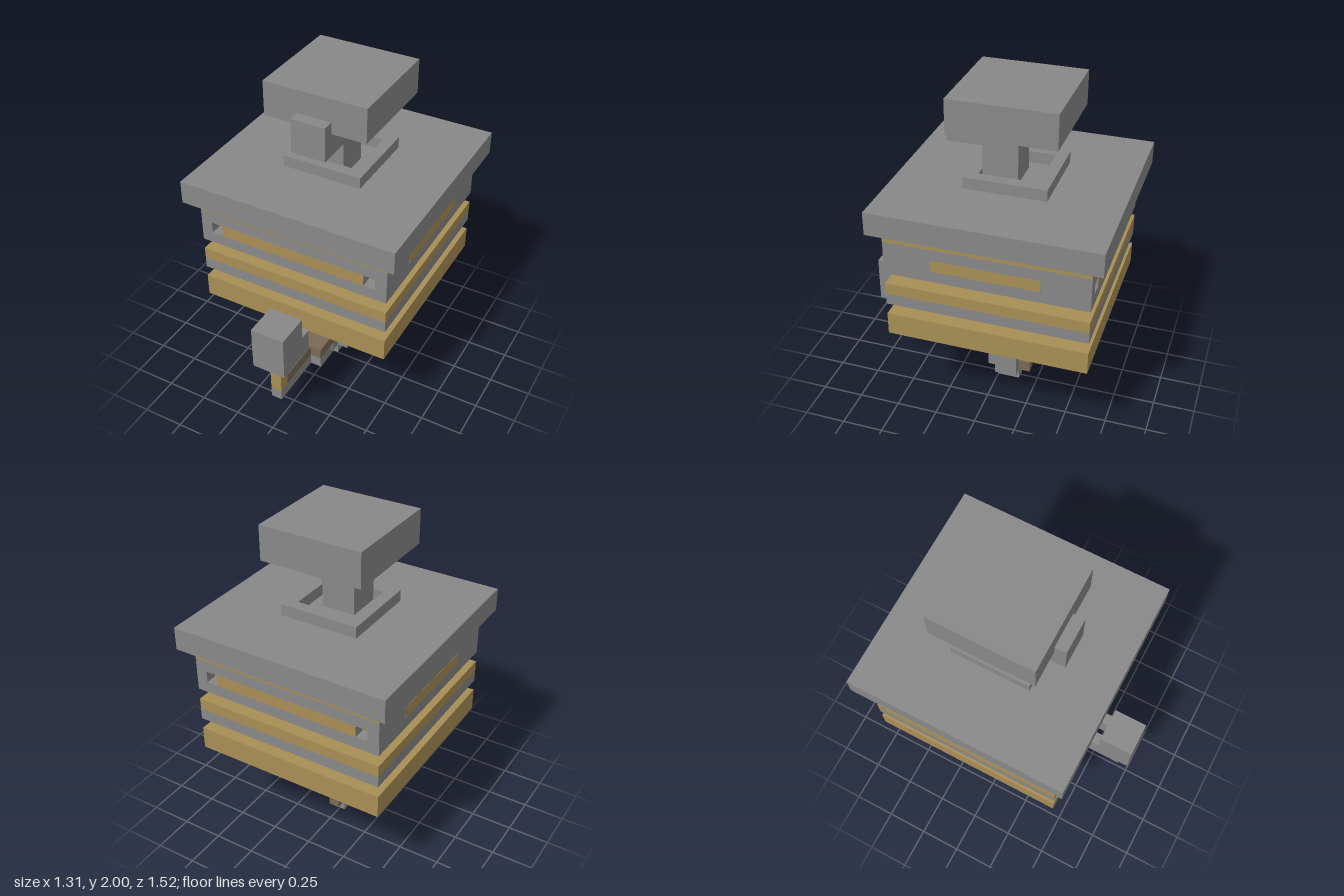
import * as THREE from 'three';

const U = 2 / 29; // one block of the grid

export function createModel() {
  const model = new THREE.Group();
  const mat = (name, color) => Object.assign(new THREE.MeshStandardMaterial({ color }), { name });
  const grey = mat('grey metal', 0x888888);
  const gold = mat('dull gold', 0xa88e55);
  const brown = mat('dark brown', 0x7a6955);
  const copper = mat('copper', 0x8f6832);

  // Block given by its limits, in grid units
  function box(name, material, x0, x1, y0, y1, z0, z1) {
    const mesh = new THREE.Mesh(new THREE.BoxGeometry((x1 - x0) * U, (y1 - y0) * U, (z1 - z0) * U), material);
    mesh.position.set((x0 + x1) / 2 * U, (y0 + y1) / 2 * U, (z0 + z1) / 2 * U);
    mesh.name = name;
    model.add(mesh);
    return mesh;
  }
  // Block centred on x
  const mid = (name, material, half, y0, y1, z0, z1) => box(name, material, -half, half, y0, y1, z0, z1);

  // Slab with rectangular holes; rectangles are [a0, a1, b0, b1]
  function slab(name, material, outer, holes, depth) {
    const trace = (p, [a0, a1, b0, b1]) => {
      p.moveTo(a0 * U, b0 * U);
      p.lineTo(a1 * U, b0 * U);
      p.lineTo(a1 * U, b1 * U);
      p.lineTo(a0 * U, b1 * U);
      p.closePath();
      return p;
    };
    const shape = trace(new THREE.Shape(), outer);
    shape.holes = holes.map(h => trace(new THREE.Path(), h));
    const mesh = new THREE.Mesh(new THREE.ExtrudeGeometry(shape, { depth: depth * U, bevelEnabled: false }), material);
    mesh.name = name;
    model.add(mesh);
    return mesh;
  }
  // Flat square frame, lying down, one block high
  function frame(name, y, half, z0, z1) {
    const mesh = slab(name, grey, [-half, half, z0, z1], [[-half + 1, half - 1, z0 + 1, z1 - 1]], 1);
    mesh.rotation.x = Math.PI / 2;
    mesh.position.y = (y + 1) * U;
  }

  // Top cap with an inset underside, and its bent neck
  mid('topCap', grey, 4.5, 26, 29, -6, 3);
  mid('capUnderside', gold, 3.5, 25.97, 26.02, -5, 2);
  mid('neck', grey, 1.5, 21, 26, -2, 1);
  mid('neckHook', grey, 1.5, 24, 27, 1, 4);
  mid('neckBackStep', grey, 1.5, 25, 26, -3, -2);
  frame('neckFlange', 21, 3.5, -5, 2);
  mid('roofPlate', grey, 9.5, 19, 21, -11, 8);

  // Upper tier: core, pierced front and back faces, gold band
  mid('upperTierBand', gold, 8.5, 18, 19, -10, 7);
  mid('upperTierCore', grey, 8.5, 15, 18, -9, 6);
  const sockets = [[-7.5, -6.5, 16, 17], [6.5, 7.5, 16, 17]];
  for (const [z, out, inner] of [[6, 7, 6], [-10, -10, -9]]) {
    slab('piercedFace', grey, [-8.5, 8.5, 15, 18], sockets, 1).position.z = z * U;
    mid('faceStripe', gold, 6.5, 16, 17, out - 0.02, out + 0.02);
    for (const s of [-1, 1]) box('socketBack', gold, s * 7 - 0.5, s * 7 + 0.5, 16, 17, inner - 0.02, inner + 0.02);
  }
  for (const s of [-1, 1]) box('sideStripe', gold, s * 8.5 - 0.02, s * 8.5 + 0.02, 16, 17, -6, 3);

  // Middle and lower tiers
  mid('middleTierBand', gold, 8.5, 13, 14, -10, 7);
  mid('middleTier', grey, 8.5, 12, 13, -10, 7);
  mid('lowerTier', gold, 8.5, 9, 11, -10, 7);

  // Small pegs between the two tiers: centre x, centre z
  for (const [x, z, m] of [[-5, 3.5, brown], [-1, -1.5, brown], [1, -2.5, brown], [1, -4.5, brown], [0, 0.5, grey], [0, -3.5, grey]])
    box('tierPeg', m, x - 0.5, x + 0.5, 11, 12, z - 0.5, z + 0.5);

  // Frame under the body
  frame('underFrame', 8, 5.5, -7, 4);

  // Lower post with a socket in its back
  mid('post', grey, 1.5, 3, 9, -1, 1);
  mid('postFoot', grey, 1.5, 1, 3, -1, 0);
  slab('postBack', grey, [-1.5, 1.5, 1, 9], [[-0.5, 0.5, 3, 4]], 1).position.z = -2 * U;
  mid('postFrontKey', grey, 0.5, 1, 3, 0, 1);
  mid('postTip', grey, 0.5, 0, 1, -2, 0);
  mid('postBackPeg', brown, 0.5, 1, 2, -3, -2);
  mid('postFrontPeg', grey, 0.5, 7, 8, 1, 2);

  // Short arm behind the post
  mid('backArm', grey, 0.5, 7, 8, -5, -2);
  mid('backArmEnd', gold, 0.5, 8, 9, -5, -4);

  // Front arm, widened where it joins the post
  mid('frontArm', grey, 0.5, 3, 4, 5, 10);
  mid('frontArmTop', brown, 0.5, 4, 5, 5, 9);
  mid('armRoot', grey, 1.5, 3, 4, 3, 5);
  mid('armRootTop', brown, 1.5, 4, 5, 3, 5);
  mid('armJoint', copper, 1.5, 4, 6, 1, 3);
  mid('armJointKnob', copper, 0.5, 6, 7, 2, 3);
  mid('armUpright', gold, 0.5, 4, 7, 9, 10);

  // Block on the end of the front arm, with two rear prongs
  mid('armHead', grey, 1.5, 7, 11, 8, 11);
  for (const s of [-1, 1]) box('headProng', grey, s - 0.5, s + 0.5, 7, 9, 7, 8);

  return model;
}
